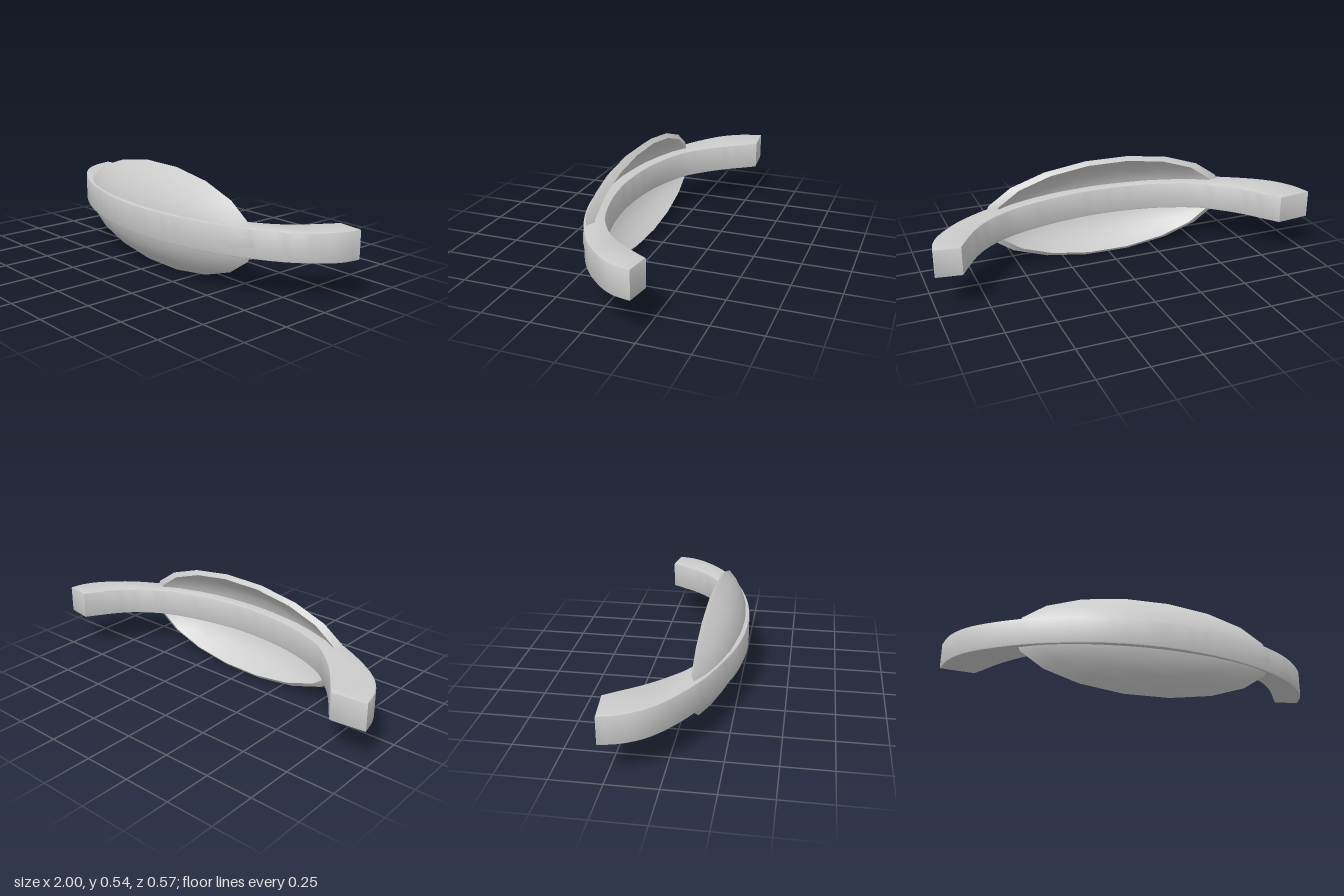
import * as THREE from 'three';
import { toCreasedNormals } from 'three/addons/utils/BufferGeometryUtils.js';

const material = new THREE.MeshStandardMaterial({ color: 0xcccccc });

// Smooth run of [x, z] points, as 2D points with z flipped for extrusion
function smooth(points, count) {
  const curve = new THREE.SplineCurve(points.map(([x, z]) => new THREE.Vector2(x, -z)));
  return curve.getSpacedPoints(count);
}

// Curved band: crescent outline extruded upwards, edges slightly softened
function createBand() {
  const outer = smooth([
    [-1, -0.27], [-0.97, -0.16], [-0.9, -0.055], [-0.78, 0.04], [-0.6, 0.14], [-0.4, 0.213],
    [-0.2, 0.262], [0.03, 0.281], [0.25, 0.265], [0.45, 0.222], [0.63, 0.155], [0.8, 0.06],
    [0.92, -0.05], [0.98, -0.14], [1, -0.23],
  ], 60);
  const inner = smooth([
    [0.87, -0.25], [0.84, -0.2], [0.76, -0.08], [0.66, 0.015], [0.5, 0.1], [0.25, 0.162],
    [0.01, 0.18], [-0.25, 0.15], [-0.48, 0.07], [-0.6, -0.02], [-0.7, -0.125],
    [-0.78, -0.235], [-0.82, -0.288],
  ], 50);
  const bevel = 0.007;
  const geometry = new THREE.ExtrudeGeometry(new THREE.Shape([...outer, ...inner]), {
    depth: 0.147 - 2 * bevel, bevelEnabled: true, bevelThickness: bevel,
    bevelSize: bevel, bevelOffset: -bevel, bevelSegments: 2,
  });
  geometry.rotateX(-Math.PI / 2);
  geometry.translate(0, 0.195 + bevel, 0);
  const mesh = new THREE.Mesh(toCreasedNormals(geometry, 0.6), material);
  mesh.name = 'curvedBand';
  return mesh;
}

// Shallow oval dish: thin shell opening to the back, 18 sides
function createDish() {
  const front = [
    [1, 0.113], [0.87, 0.16], [0.7, 0.202], [0.53, 0.232], [0.29, 0.257], [0, 0.266],
  ];
  const back = front.map(([r, z]) => [r * 0.925, z - 0.02]).reverse();
  const profile = [...back, ...front].map(([r, z]) => new THREE.Vector2(r, z));
  const geometry = new THREE.LatheGeometry(profile, 18, Math.PI / 2);
  geometry.scale(0.68, 1, 0.272);
  geometry.rotateX(Math.PI / 2);
  const mesh = new THREE.Mesh(toCreasedNormals(geometry, 0.6), material);
  mesh.name = 'ovalDish';
  mesh.position.set(0.01, 0.268, 0);
  mesh.rotation.y = -0.028;
  return mesh;
}

export function createModel() {
  const model = new THREE.Group();
  model.name = 'dishOnBand';
  model.add(createBand(), createDish());
  return model;
}
